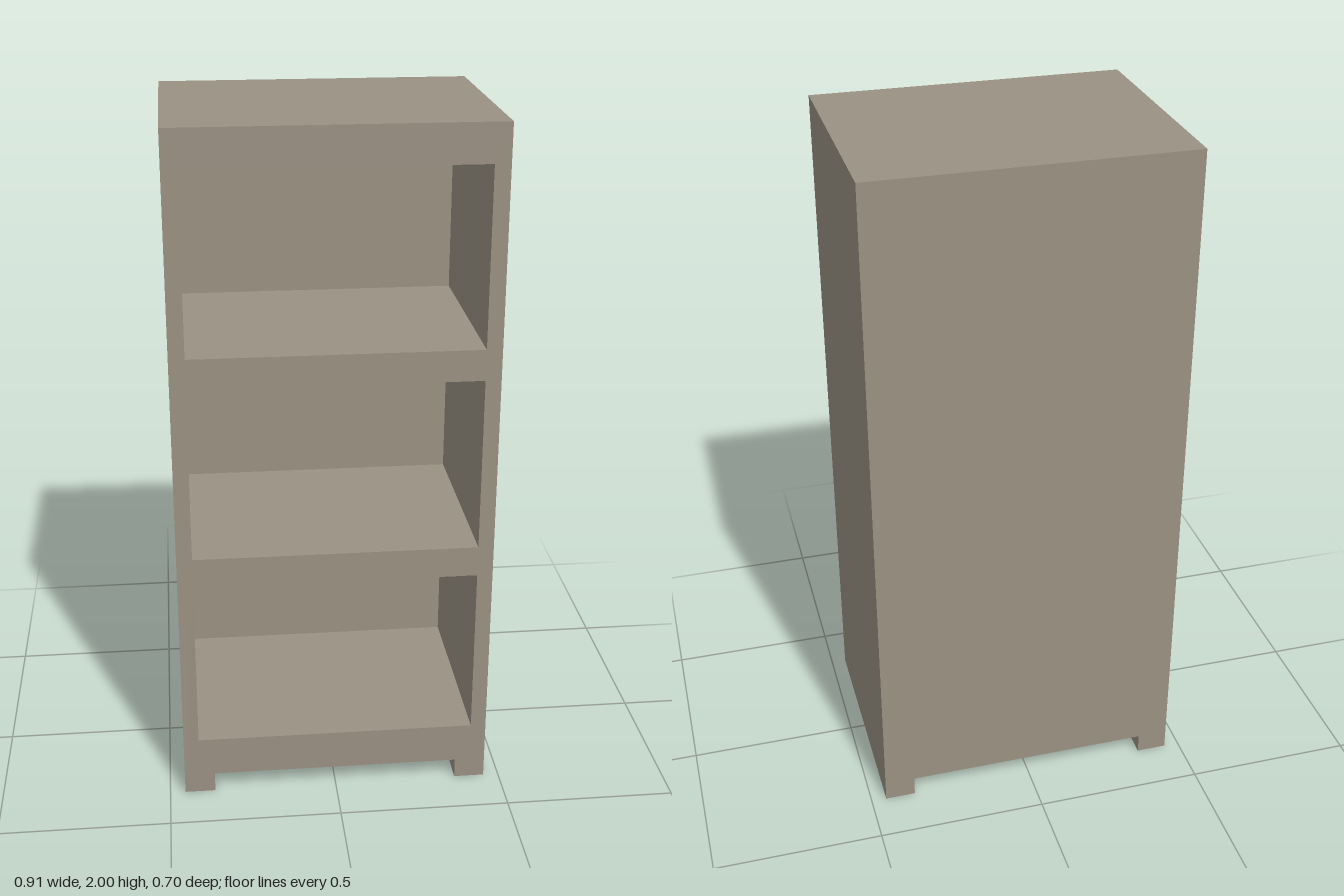
import * as THREE from 'three';
import { mergeGeometries } from 'three/addons/utils/BufferGeometryUtils.js';

const W = 0.455, H = 2, FRONT = 0.35, BACK = -0.35; // outer cabinet
const FOOT_X = 0.365, FOOT_H = 0.06;                // gap between the side runners
const OPEN_X = 0.41, OPEN_H = 0.51, FIRST_Y = 0.18, PITCH = 0.6, RECESS_Z = -0.25;

const toPoints = (list) => list.map(([x, y]) => new THREE.Vector2(x, y));

// Flat walls along a closed loop, facing right of the direction of travel
function walls(loop, z0, z1) {
  return loop.map((a, i) => {
    const b = loop[(i + 1) % loop.length];
    return new THREE.PlaneGeometry(a.distanceTo(b), z1 - z0)
      .rotateX(Math.PI / 2)
      .rotateZ(Math.atan2(b.y - a.y, b.x - a.x))
      .translate((a.x + b.x) / 2, (a.y + b.y) / 2, (z0 + z1) / 2);
  });
}

export function createModel() {
  const group = new THREE.Group();
  group.name = 'bookcase';
  const material = new THREE.MeshStandardMaterial({ color: 0x9a9182 });
  const add = (name, parts) => {
    const mesh = new THREE.Mesh(mergeGeometries(parts), material);
    mesh.name = name;
    group.add(mesh);
  };

  // Outer silhouette, counter-clockwise, with the notch between the runners
  const outline = toPoints([
    [-W, 0], [-FOOT_X, 0], [-FOOT_X, FOOT_H], [FOOT_X, FOOT_H],
    [FOOT_X, 0], [W, 0], [W, H], [-W, H],
  ]);
  const face = new THREE.Shape(outline);

  // Three open compartments, each with four inner walls and a back
  for (let i = 0; i < 3; i++) {
    const y0 = FIRST_Y + i * PITCH, y1 = y0 + OPEN_H;
    const loop = toPoints([[-OPEN_X, y0], [-OPEN_X, y1], [OPEN_X, y1], [OPEN_X, y0]]);
    face.holes.push(new THREE.Path(loop));
    const rear = new THREE.PlaneGeometry(2 * OPEN_X, OPEN_H)
      .translate(0, (y0 + y1) / 2, RECESS_Z);
    add('compartment' + (i + 1), [...walls(loop, RECESS_Z, FRONT), rear]);
  }

  // Carcass: front frame, plain back and the outer sides
  add('carcass', [
    new THREE.ShapeGeometry(face).translate(0, 0, FRONT),
    new THREE.ShapeGeometry(new THREE.Shape(outline)).rotateY(Math.PI).translate(0, 0, BACK),
    ...walls(outline, BACK, FRONT),
  ]);
  return group;
}
